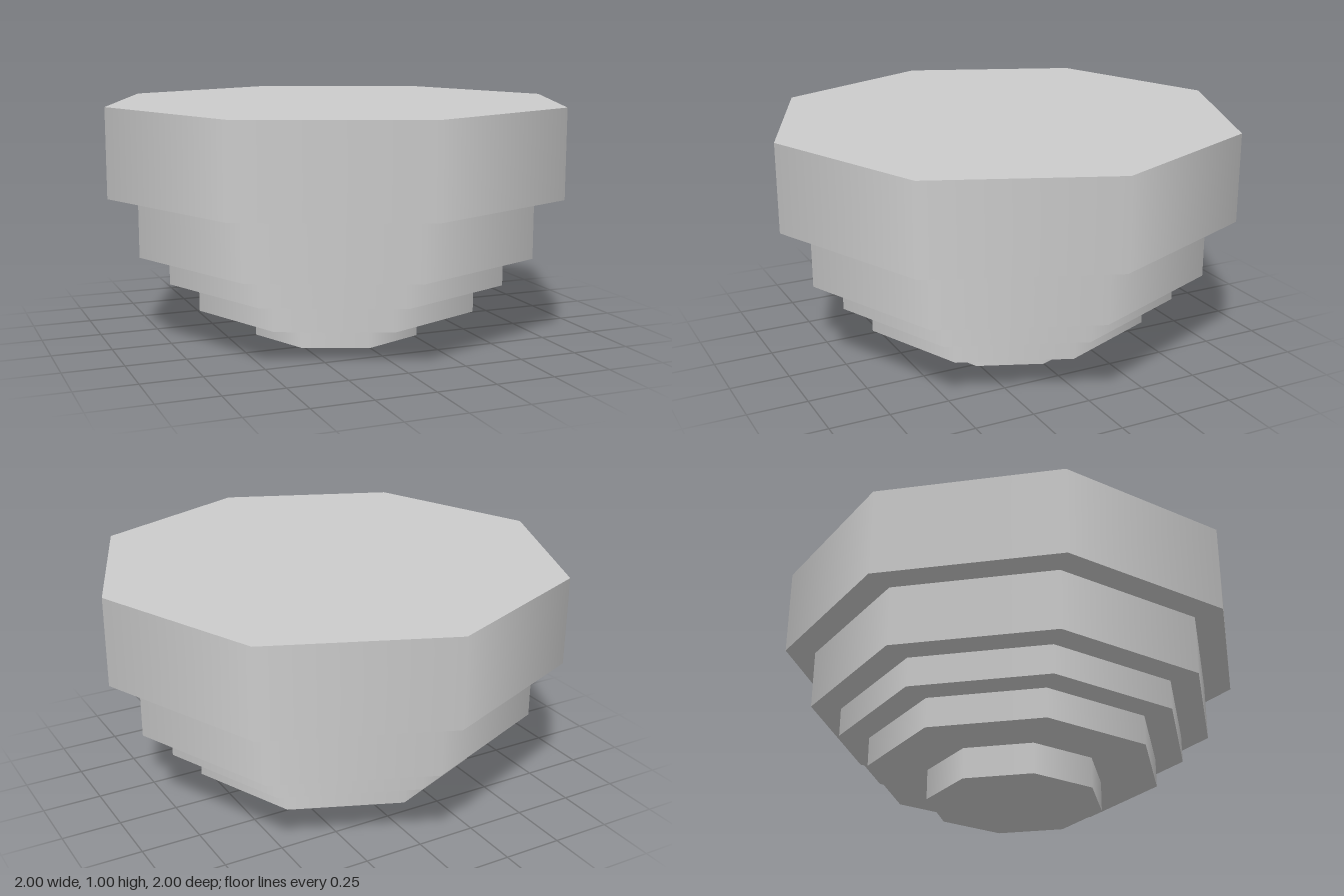
import * as THREE from 'three';

export function createModel() {
  const group = new THREE.Group();
  group.name = 'steppedOctagon';
  const material = new THREE.MeshStandardMaterial({ color: 0xcccccc });

  // Stacked eight-sided tiers with smooth sides: name, radius, bottom, top
  const tiers = [
    ['footTier', 0.375, 0, 0.13],
    ['lowerTier', 0.625, 0.13, 0.255],
    ['middleTier', 0.75, 0.255, 0.378],
    ['upperTier', 0.875, 0.378, 0.63],
    ['topTier', 1, 0.63, 1.003],
  ];
  for (const [name, radius, bottom, top] of tiers) {
    const tier = new THREE.Mesh(new THREE.CylinderGeometry(radius, radius, top - bottom, 8), material);
    tier.name = name;
    tier.position.y = (bottom + top) / 2;
    group.add(tier);
  }
  return group;
}
